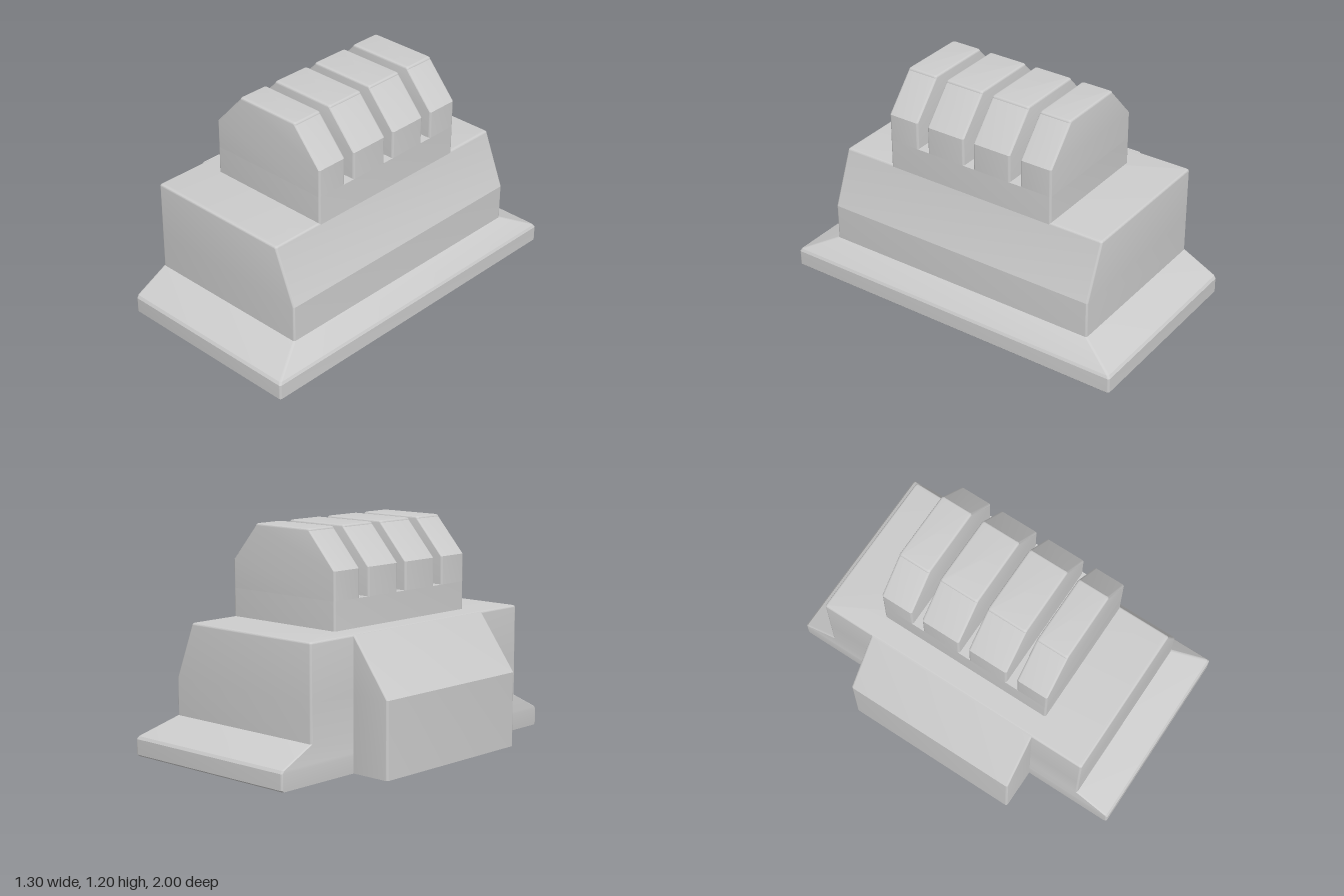
import * as THREE from 'three';
import { toCreasedNormals } from 'three/addons/utils/BufferGeometryUtils.js';

const R = 0.012; // softened edge radius
const STEPS = 5; // segments per softened edge
const material = new THREE.MeshStandardMaterial({ color: 0xcccccc });

// Rectangle with rounded corners at one height: [y, x0, x1, z0, z1]
function ringPoints([y, x0, x1, z0, z1]) {
  const corners = [[x1 - R, z1 - R], [x0 + R, z1 - R], [x0 + R, z0 + R], [x1 - R, z0 + R]];
  const points = [];
  corners.forEach(([cx, cz], q) => {
    for (let s = 0; s <= STEPS; s++) {
      const a = (q + s / STEPS) * Math.PI / 2;
      points.push([cx + R * Math.cos(a), y, cz + R * Math.sin(a)]);
    }
  });
  return points;
}

// Replaces a top level by a quarter-round rim
function roundedTop([y, x0, x1, z0, z1]) {
  return Array.from({ length: STEPS + 1 }, (_, s) => {
    const a = s / STEPS * Math.PI / 2;
    const inset = R * (1 - Math.cos(a));
    return [y - R + R * Math.sin(a), x0 + inset, x1 - inset, z0 + inset, z1 - inset];
  });
}

// Closed solid through a stack of rectangular levels
function loft(name, levels) {
  const rings = levels.map(ringPoints);
  const n = rings[0].length;
  const index = [];
  for (let i = 0; i < rings.length - 1; i++) {
    for (let k = 0; k < n; k++) {
      const a = i * n + k, b = i * n + (k + 1) % n, c = b + n, d = a + n;
      index.push(a, d, c, a, c, b);
    }
  }
  const top = (rings.length - 1) * n;
  for (let k = 1; k < n - 1; k++) {
    index.push(0, k, k + 1, top, top + k + 1, top + k);
  }
  const geometry = new THREE.BufferGeometry();
  geometry.setAttribute('position', new THREE.Float32BufferAttribute(rings.flat(2), 3));
  geometry.setIndex(index);
  const mesh = new THREE.Mesh(toCreasedNormals(geometry, 0.35), material);
  mesh.name = name;
  return mesh;
}

export function createModel() {
  const model = new THREE.Group();
  model.name = 'steppedBlock';

  // Main body with a flared foot on three sides and a sloped left shoulder
  model.add(loft('body', [
    [0, -0.425, 0.642, -0.992, 0.992],
    [0.008, -0.425, 0.65, -1, 1],
    [0.09, -0.425, 0.65, -1, 1],
    [0.105, -0.425, 0.643, -0.99, 0.99],
    [0.2, -0.425, 0.547, -0.8, 0.8],
    [0.4, -0.425, 0.547, -0.8, 0.8],
    ...roundedTop([0.7, -0.425, 0.43, -0.8, 0.8]),
  ]));

  // Side buttress, sunk slightly into the body
  model.add(loft('sideButtress', [
    [0, -0.65, -0.4, -0.5, 0.5],
    [0.4, -0.65, -0.4, -0.5, 0.5],
    [0.698, -0.428, -0.4, -0.5, 0.5],
  ]));

  // Upper block below the slots
  const upper = new THREE.Group();
  upper.name = 'upperBlock';
  upper.add(loft('upperCore', [
    [0.69, -0.297, 0.43, -0.5, 0.5],
    [0.85, -0.297, 0.43, -0.5, 0.5],
  ]));

  // Four chamfered ribs separated by three slots
  const ribs = [[-0.5, -0.317], [-0.253, -0.03], [0.03, 0.257], [0.32, 0.5]];
  for (const [z0, z1] of ribs) {
    upper.add(loft('rib', [
      [0.85, -0.297, 0.43, z0, z1],
      [1.0, -0.297, 0.43, z0, z1],
      ...roundedTop([1.2, -0.125, 0.265, z0, z1]),
    ]));
  }
  model.add(upper);
  return model;
}
